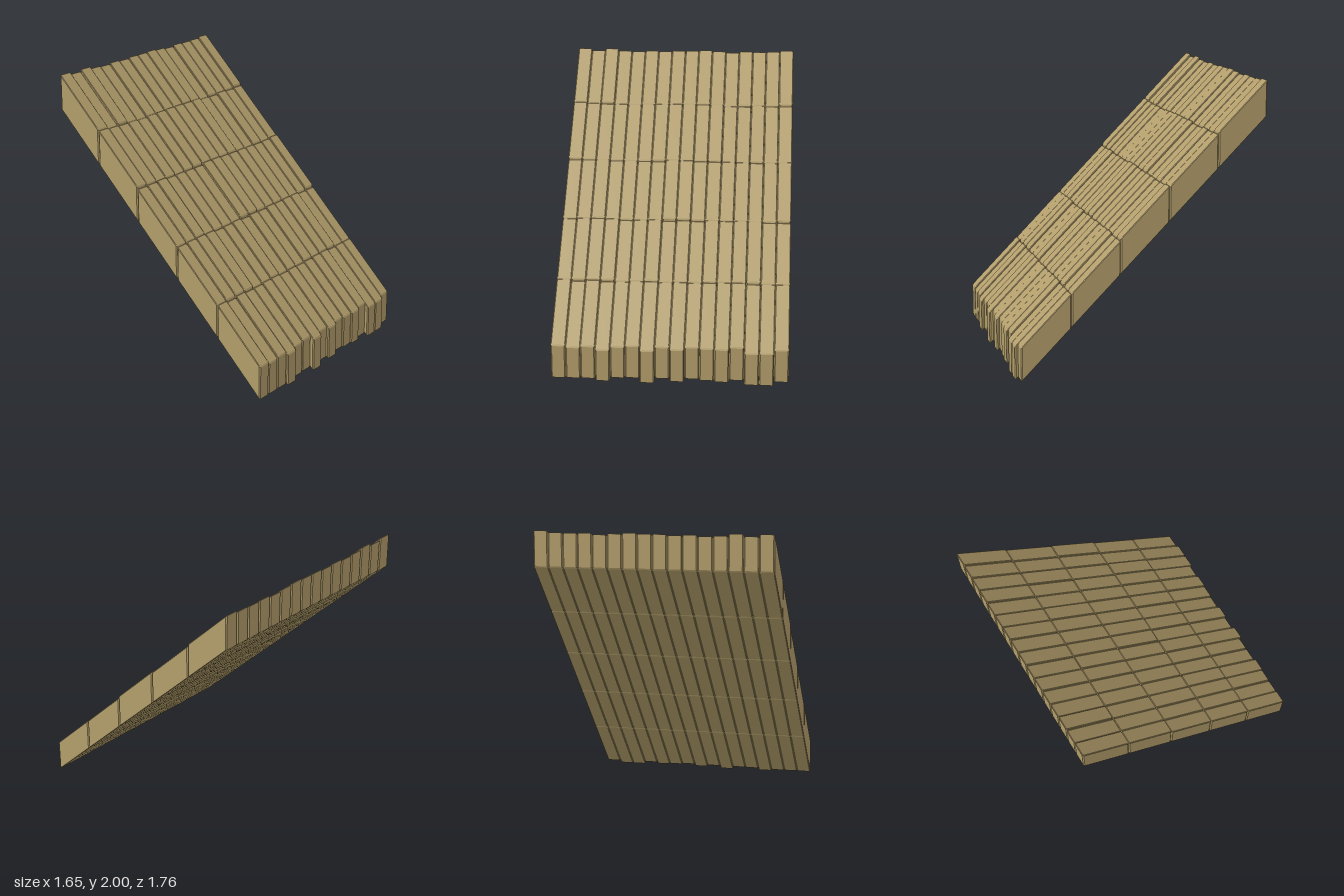
import * as THREE from 'three';

const COLUMNS = 16, PITCH_X = 0.1031;
const PITCH_Z = 0.346, BACK = -0.88, FRONT = 0.88;
const BEVEL = 0.005, CHAMFER = 0.008;

// how far each column's lowest plank stops short of the front edge (x from -0.82 to +0.82)
const FRONT_INSET = [0.015, 0.015, 0.015, 0.004, 0.022, 0.024, 0, 0.025,
  0.01, 0.027, 0.02, 0.014, 0.026, 0.003, 0.003, 0.023];
// top height of each column at the back edge
const BACK_TOP = [2, 1.985, 2, 1.985, 1.98, 1.988, 1.983, 1.99,
  1.99, 1.995, 1.988, 1.98, 1.99, 1.987, 1.99, 2];

function seeded(seed) {
  return () => (seed = (seed * 16807) % 2147483647) / 2147483647;
}

// plank with chamfered upright edges, sheared along the 45 degree slope
function plankGeometry(x0, x1, z0, z1, height) {
  const c = CHAMFER;
  const outline = new THREE.Shape([
    [x0 + c, -z1], [x1 - c, -z1], [x1, -z1 + c], [x1, -z0 - c],
    [x1 - c, -z0], [x0 + c, -z0], [x0, -z0 - c], [x0, -z1 + c],
  ].map(([x, y]) => new THREE.Vector2(x, y)));
  const geometry = new THREE.ExtrudeGeometry(outline, {
    depth: height, bevelEnabled: true, bevelSegments: 1,
    bevelSize: BEVEL, bevelThickness: BEVEL, bevelOffset: -BEVEL,
  });
  geometry.rotateX(-Math.PI / 2);
  const p = geometry.attributes.position;
  for (let i = 0; i < p.count; i++) p.setY(i, p.getY(i) + FRONT - p.getZ(i));
  geometry.computeVertexNormals();
  return geometry;
}

export function createModel() {
  const model = new THREE.Group();
  model.name = 'plankRamp';
  const wood = new THREE.MeshStandardMaterial({ color: 0xb39e6b });
  wood.name = 'tan wood';
  const random = seeded(71);

  // five rows of planks, from the top of the slope down
  for (let row = 0; row < 5; row++) {
    const rowGroup = new THREE.Group();
    rowGroup.name = 'plankRow' + (row + 1);
    model.add(rowGroup);
    for (let col = 0; col < COLUMNS; col++) {
      const x0 = (col - COLUMNS / 2) * PITCH_X;
      const z0 = BACK + row * PITCH_Z;
      const z1 = row === 4 ? FRONT - FRONT_INSET[col] : z0 + PITCH_Z - 0.0006;
      const height = row === 0 ? BACK_TOP[col] - (FRONT - BACK) : 0.24 - 0.018 * random();
      const plank = new THREE.Mesh(
        plankGeometry(x0 + 0.0003, x0 + PITCH_X - 0.0003, z0, z1, height), wood);
      plank.name = 'plank';
      rowGroup.add(plank);
    }
  }
  return model;
}
